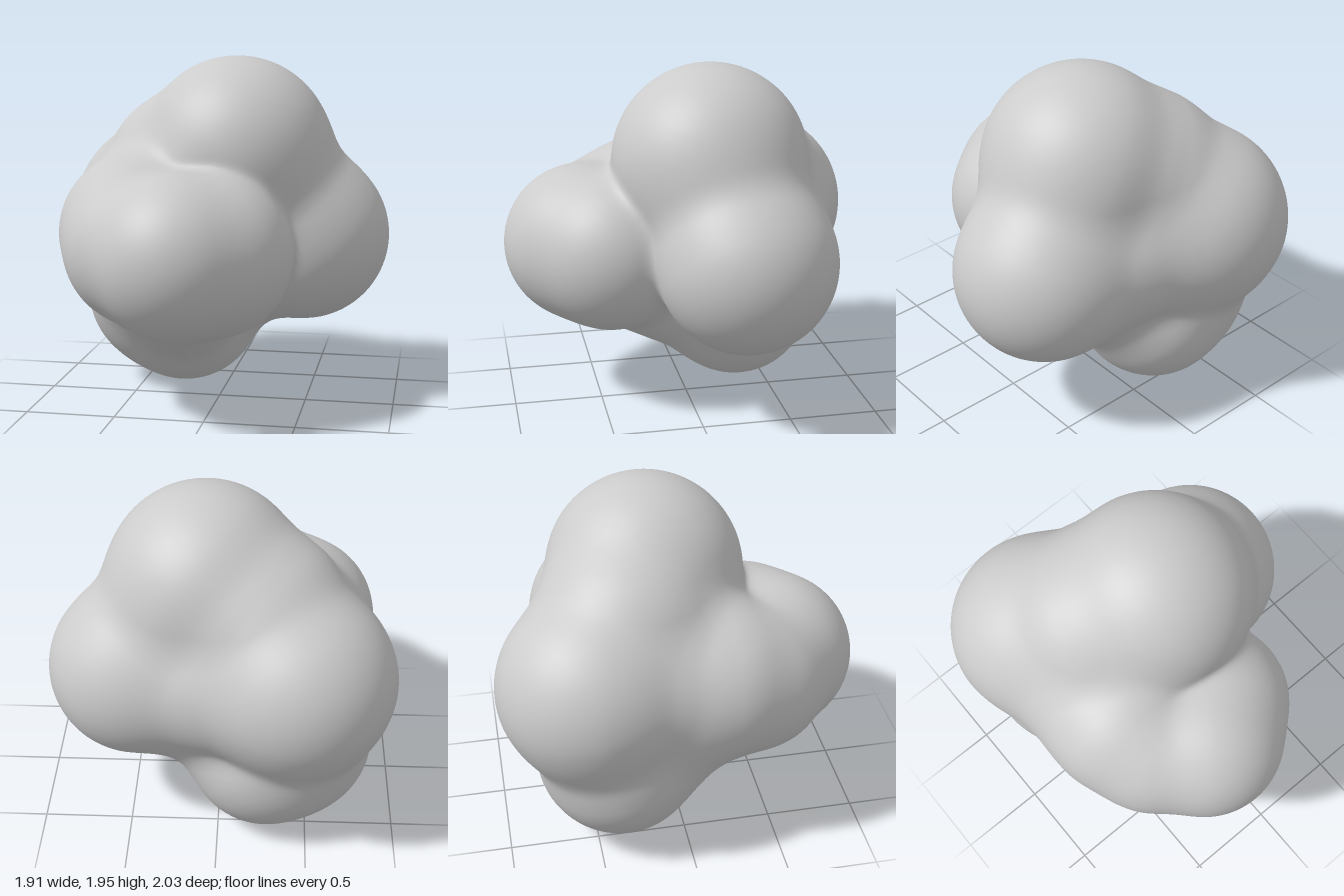
import * as THREE from 'three';
import { mergeVertices } from 'three/addons/utils/BufferGeometryUtils.js';

// Rounded lobes: centre x, y, z and radius
const lobes = {
  top: [0.08, 1.41, -0.12, 0.53],
  ridge: [-0.2, 1.25, -0.26, 0.495],
  back: [-0.43, 1.02, -0.48, 0.5],
  side: [0.45, 0.93, -0.25, 0.48],
  bottom: [-0.27, 0.455, -0.35, 0.445],
  bottomLeft: [-0.41, 0.53, -0.35, 0.425],
  frontTip: [-0.14, 0.92, 0.57, 0.42],
  frontCheek: [-0.36, 0.93, 0.4, 0.395],
  frontLeft: [-0.42, 0.99, 0.2, 0.42],
  frontRight: [0.02, 0.91, 0.43, 0.425],
};

// Flesh between lobes: both ends and thickness relative to the lobes
const bridges = [
  ['ridge', 'top', 0.96],
  ['ridge', 'back', 0.96],
  ['ridge', 'frontLeft', 0.88],
  ['back', 'frontLeft', 0.98],
  ['back', 'bottomLeft', 0.96],
  ['back', 'side', 0.93],
  ['top', 'side', 0.92],
  ['top', 'frontLeft', 0.8],
  ['frontTip', 'frontCheek', 0.96],
  ['frontTip', 'frontRight', 0.96],
  ['frontCheek', 'frontRight', 0.96],
  ['frontTip', 'bottom', 0.92],
  ['frontLeft', 'bottomLeft', 0.93],
  ['bottom', 'side', 0.74],
];

const parts = [
  ...Object.values(lobes).map((l) => [l, l, 1]),
  ...bridges.map(([a, b, s]) => [lobes[a], lobes[b], s]),
];

// Distance to a tapered capsule (a sphere when both ends agree)
function capsule(p, [a, b, s]) {
  const dx = b[0] - a[0], dy = b[1] - a[1], dz = b[2] - a[2];
  const len2 = dx * dx + dy * dy + dz * dz;
  const px = p.x - a[0], py = p.y - a[1], pz = p.z - a[2];
  const t = len2 ? Math.min(1, Math.max(0, (px * dx + py * dy + pz * dz) / len2)) : 0;
  return Math.hypot(px - dx * t, py - dy * t, pz - dz * t) - s * (a[3] + (b[3] - a[3]) * t);
}

// Soft union of all parts
function distance(p) {
  const k = 0.09;
  let d = 10;
  for (const part of parts) {
    const e = capsule(p, part);
    const h = Math.max(k - Math.abs(d - e), 0) / k;
    d = Math.min(d, e) - h * h * k * 0.25;
  }
  return d;
}

export function createModel() {
  const group = new THREE.Group();

  // Shrink-wrap a fine sphere onto the soft union
  let geo = new THREE.IcosahedronGeometry(1, 44);
  geo.deleteAttribute('uv');
  geo.deleteAttribute('normal');
  geo = mergeVertices(geo, 1e-5);
  const pos = geo.attributes.position;
  const centre = new THREE.Vector3(-0.06, 0.95, -0.08);
  const dir = new THREE.Vector3(), p = new THREE.Vector3();
  for (let i = 0; i < pos.count; i++) {
    dir.fromBufferAttribute(pos, i).normalize();
    let t = 1.7;
    for (let step = 0; step < 70; step++) {
      const d = distance(p.copy(centre).addScaledVector(dir, t));
      if (Math.abs(d) < 0.0005) break;
      t -= d * 0.9;
    }
    p.copy(centre).addScaledVector(dir, t);
    pos.setXYZ(i, p.x, p.y, p.z);
  }
  geo.computeVertexNormals();

  // Rest the lowest point on the ground
  geo.computeBoundingBox();
  geo.translate(0, -geo.boundingBox.min.y, 0);

  const body = new THREE.Mesh(geo, new THREE.MeshStandardMaterial({ color: 0xcccccc }));
  body.name = 'lumpyBody';
  group.add(body);
  return group;
}
